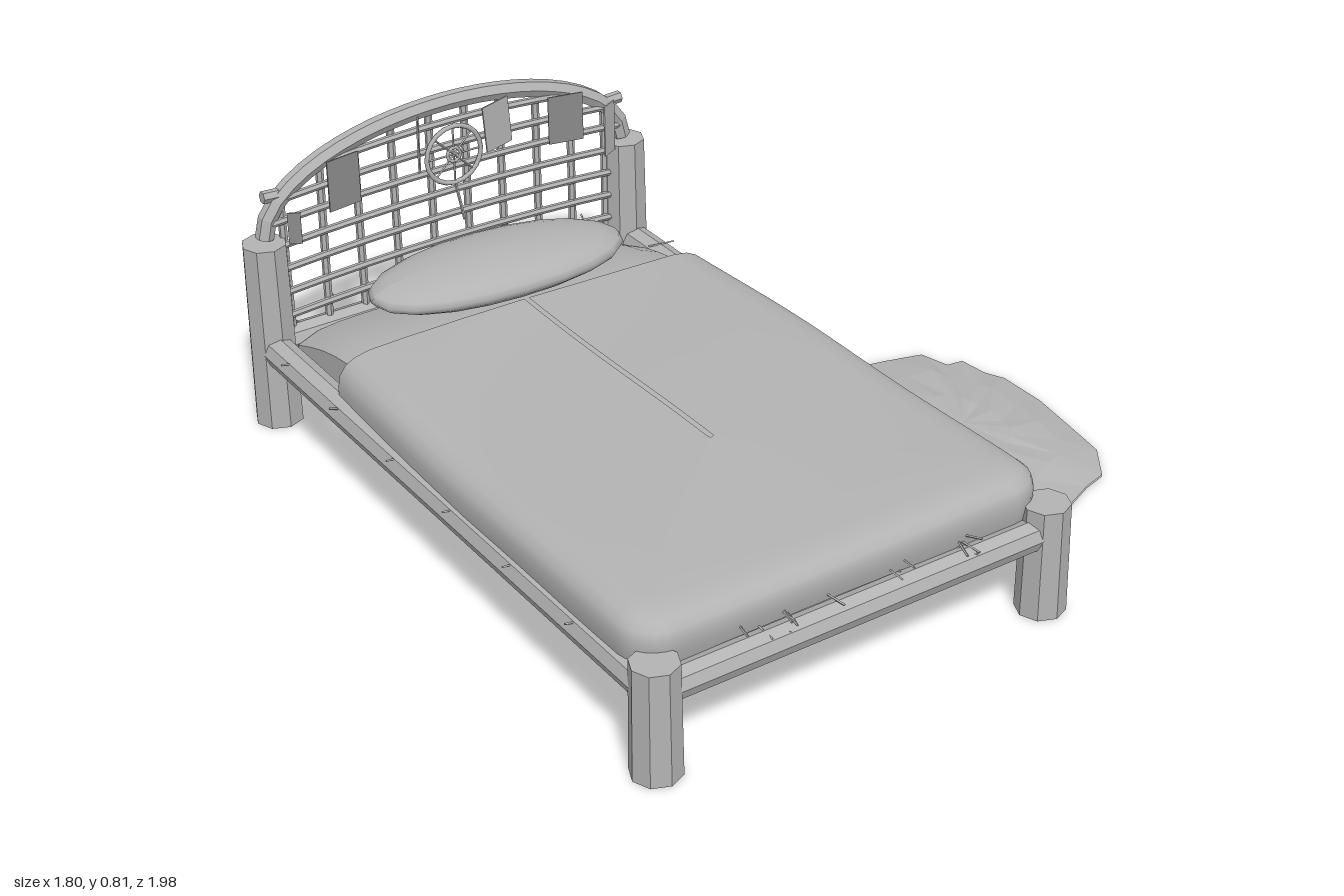
import * as THREE from 'three';

const CX = -0.275; // centre line of the bed
const HZ = -0.92; // plane of the headboard

export function createModel() {
  const root = new THREE.Group();
  const grey = new THREE.MeshStandardMaterial({ color: 0xb3b3b3, side: THREE.DoubleSide });
  const dark = new THREE.MeshStandardMaterial({ color: 0x8a8a8a, side: THREE.DoubleSide });
  let seed = 7;
  const rnd = () => (seed = (seed * 16807) % 2147483647) / 2147483647;
  const V = (x, y, z) => new THREE.Vector3(x, y, z);

  function add(name, geo, parent = root, mat = grey) {
    const m = new THREE.Mesh(geo, mat);
    m.name = name;
    parent.add(m);
    return m;
  }
  function flat(geo) {
    const g = geo.index ? geo.toNonIndexed() : geo;
    g.computeVertexNormals();
    return g;
  }
  function group(name) {
    const g = new THREE.Group();
    g.name = name;
    root.add(g);
    return g;
  }
  // faceted pole between two points
  function pole(name, a, b, r, sides = 8, parent = root, r2 = r) {
    const m = add(name, flat(new THREE.CylinderGeometry(r2, r, a.distanceTo(b), sides)), parent);
    m.position.copy(a).add(b).multiplyScalar(0.5);
    m.quaternion.setFromUnitVectors(V(0, 1, 0), b.clone().sub(a).normalize());
    return m;
  }
  // smooth surface through rows of points
  function loft(rows) {
    const n = rows[0].length, pos = [], idx = [];
    rows.forEach(r => r.forEach(p => pos.push(p.x, p.y, p.z)));
    for (let i = 0; i < rows.length - 1; i++) for (let j = 0; j < n - 1; j++) {
      const a = i * n + j, b = a + n;
      idx.push(a, a + 1, b, a + 1, b + 1, b);
    }
    const g = new THREE.BufferGeometry();
    g.setAttribute('position', new THREE.Float32BufferAttribute(pos, 3));
    g.setIndex(idx);
    g.computeVertexNormals();
    return g;
  }

  // posts, rails and slats
  const frame = group('frame');
  for (const s of [-1, 1]) {
    const x = CX + s * 0.557;
    pole('frontPost', V(x, 0, 0.93), V(x, 0.302, 0.93), 0.064, 8, frame, 0.06);
    pole('backPost', V(x, 0, -0.917), V(x, 0.53, -0.917), 0.066, 8, frame, 0.06);
    pole('sideRail', V(x + s * 0.005, 0.225, -0.9), V(x + s * 0.005, 0.23, 0.92), 0.043, 8, frame);
  }
  pole('frontRail', V(-0.82, 0.228, 0.935), V(0.27, 0.228, 0.935), 0.04, 8, frame);
  pole('backRail', V(-0.82, 0.225, HZ), V(0.27, 0.225, HZ), 0.04, 8, frame);
  for (let i = 0; i < 8; i++) {
    const slat = add('slat', new THREE.BoxGeometry(1.06, 0.02, 0.15), frame);
    slat.position.set(CX, 0.187, -0.77 + i * 0.22);
    slat.rotation.x = 0.06;
  }

  // mattress, its top sloping down behind the blanket
  const mg = new THREE.BoxGeometry(1, 1, 1, 16, 4, 24), mp = mg.attributes.position;
  for (let i = 0; i < mp.count; i++) {
    const u = mp.getX(i) * 2, v = mp.getY(i) + 0.5, w = mp.getZ(i) * 2;
    const z = w * 0.865 - 0.01;
    const slope = 0.085 * Math.pow(THREE.MathUtils.clamp((-0.5 - z) / 0.37, 0, 1), 2);
    const top = 0.345 - slope - 0.035 * Math.pow(Math.abs(u), 10);
    mp.setXYZ(i, CX + u * 0.505, 0.2 + v * (top - 0.2), z);
  }
  mg.computeVertexNormals();
  add('mattress', mg);

  // blanket: U-shaped hems stepping inwards and upwards
  const hems = [[0.01, 0], [0, 0.3], [0, 0.55], [0.006, 0.72], [0.025, 0.85], [0.055, 0.93],
    [0.1, 0.97], [0.2, 0.985], [0.38, 1], [0.575, 1.01]];
  const rows = hems.map(([d, t]) => {
    const hw = Math.max(0.582 - d, 0.002), front = 0.92 - d, r = Math.min(Math.max(0.1 - d * 0.6, 0.03), hw);
    const plan = [];
    for (let i = 0; i <= 16; i++) plan.push([-hw, -0.52 + (front - r + 0.52) * i / 16]);
    for (let i = 1; i <= 6; i++) {
      const a = i / 6 * Math.PI / 2;
      plan.push([-hw + r - r * Math.cos(a), front - r + r * Math.sin(a)]);
    }
    const half = plan.slice();
    for (let i = 1; i < 8; i++) plan.push([(-hw + r) * (1 - i / 4), front]);
    half.reverse().forEach(([x, z]) => plan.push([-x, z]));
    return plan.map(([x, z]) => {
      const k = (z + 0.52) / 1.44;
      const low = 0.185 + 0.07 * k + 0.006 * Math.sin(z * 9 + x * 3);
      const high = 0.37 + 0.015 * k + 0.004 * Math.sin(z * 6 + x * 4);
      const taper = 1 - 0.035 * Math.pow(1 - k, 3);
      return V(CX - 0.005 + x * taper, low + (high - low) * t, z);
    });
  });
  add('blanket', loft(rows));

  // pillow with pointed ends
  const pg = new THREE.SphereGeometry(1, 20, 12), pp = pg.attributes.position;
  for (let i = 0; i < pp.count; i++) {
    const x = pp.getX(i), y = pp.getY(i), z = pp.getZ(i);
    pp.setXYZ(i, x * 0.375, y * 0.06 - x * x * 0.006, z * 0.168 * (1 + 0.1 * x * x));
  }
  pg.computeVertexNormals();
  const pillow = add('pillow', pg);
  pillow.position.set(-0.27, 0.398, -0.683);
  pillow.rotation.y = -0.04;

  // headboard arch and woven lattice
  const head = group('headboard');
  const arch = [];
  for (let i = 0; i <= 16; i++) {
    const a = Math.PI * (1 - i / 16);
    arch.push(V(CX + 0.553 * Math.cos(a), 0.54 + 0.248 * Math.sin(a), HZ));
  }
  add('arch', flat(new THREE.TubeGeometry(new THREE.CatmullRomCurve3(arch), 24, 0.025, 6)), head);
  for (let i = 0; i < 10; i++) {
    const dx = -0.495 + i * 0.11;
    const top = 0.54 + 0.248 * Math.sqrt(1 - (dx / 0.553) ** 2);
    pole('uprightCane', V(CX + dx, 0.23, HZ), V(CX + dx + 0.01 * (rnd() - 0.5), top, HZ), 0.011, 6, head);
  }
  for (const y of [0.31, 0.38, 0.45, 0.52, 0.59, 0.655, 0.725]) {
    const h = y > 0.54 ? 0.553 * Math.sqrt(1 - ((y - 0.54) / 0.248) ** 2) : 0.53;
    const bow = new THREE.QuadraticBezierCurve3(
      V(CX - h, y - 0.01, HZ + 0.012), V(CX, y + 0.03, HZ + 0.012), V(CX + h, y - 0.01, HZ + 0.012));
    add('crossCane', flat(new THREE.TubeGeometry(bow, 8, 0.01, 6)), head);
  }
  for (const s of [-1, 1])
    pole('archPeg', V(CX + s * 0.5, 0.655, HZ), V(CX + s * 0.55, 0.658, HZ), 0.017, 6, head);

  // spoked wheel hung on the lattice
  const wheel = group('hangingWheel');
  wheel.position.set(CX, 0.645, -0.885);
  add('wheelRim', new THREE.TorusGeometry(0.083, 0.007, 6, 20), wheel);
  add('wheelHub', new THREE.TorusGeometry(0.02, 0.005, 6, 10), wheel);
  for (let i = 0; i < 8; i++) {
    const a = i * Math.PI / 4;
    pole('spoke', V(0, 0, 0), V(0.083 * Math.cos(a), 0.083 * Math.sin(a), 0), 0.003, 4, wheel);
  }
  pole('wheelCord', V(0, -0.083, 0), V(0.012, -0.19, 0.02), 0.004, 4, wheel);

  // paper notes pinned to the lattice: x, y, width, height, turn, tilt, colour
  [[-0.615, 0.668, 0.1, 0.145, 0.15, 0, dark], [-0.39, 0.71, 0.04, 0.145, 1.0, -0.12, grey],
    [-0.15, 0.708, 0.09, 0.135, 0.2, 0.08, grey], [0.065, 0.668, 0.1, 0.14, -0.2, 0, dark],
    [0.205, 0.6, 0.055, 0.15, 0.5, 0, grey], [-0.765, 0.575, 0.035, 0.09, -0.5, 0, dark]
  ].forEach(([x, y, w, h, turn, tilt, mat]) => {
    const note = add('paperNote', new THREE.BoxGeometry(w, h, 0.004), root, mat);
    note.position.set(x, y, -0.865);
    note.rotation.set(0, turn, tilt);
  });

  // ragged rug: crumpled rings inside an uneven outline
  const edge = [[0.5, -0.27], [0.56, -0.24], [0.68, -0.21], [0.79, -0.18], [0.81, -0.09], [0.855, -0.08],
    [0.87, 0], [0.9, 0.05], [0.9, 0.2], [0.88, 0.35], [0.86, 0.48], [0.79, 0.58], [0.72, 0.6],
    [0.61, 0.65], [0.43, 0.56], [0.4, 0.51], [0.34, 0.47], [0.335, 0], [0.42, -0.15]];
  const rugRows = [0.001, 0.35, 0.7, 1].map((s, k) => {
    const row = edge.map(([x, z]) => V(0.63 + (x - 0.63) * s, [0.034, 0.03, 0.022, 0.006][k] + (k ? 0.01 * rnd() : 0), 0.2 + (z - 0.2) * s));
    return [...row, row[0].clone()];
  });
  const rug = rugRows.reverse();
  add('rug', flat(loft(rug.map(r => r.slice().reverse()))));
  add('rugUnderside', flat(loft([rug[0], rug[0].map(p => V(0.63 + (p.x - 0.63) * 0.01, 0.004, 0.2))].map(r => r.map(p => V(p.x, Math.min(p.y, 0.004), p.z))))));

  // loose straws poking out of the frame
  const straws = group('straws');
  function straw(x, y, z, dx, dy, dz) {
    pole('straw', V(x, y, z), V(x + dx, y + dy, z + dz), 0.003, 4, straws);
  }
  for (let i = 0; i < 16; i++)
    straw(-0.65 + rnd() * 0.75, 0.25 + rnd() * 0.04, 0.9, (rnd() - 0.5) * 0.05, (rnd() - 0.5) * 0.03, 0.06);
  for (let i = 0; i < 6; i++) {
    const z = -0.75 + i * 0.28;
    straw(CX - 0.57, 0.25, z, -0.045, 0.01, (rnd() - 0.5) * 0.03);
    if (i < 2) straw(CX + 0.53, 0.265, z, 0.07, 0.005, 0.02);
  }
  for (let i = 0; i < 8; i++)
    straw(-0.75 + i * 0.13, 0.26 + rnd() * 0.03, -0.93, (rnd() - 0.5) * 0.04, 0.01, -0.05);
  return root;
}
